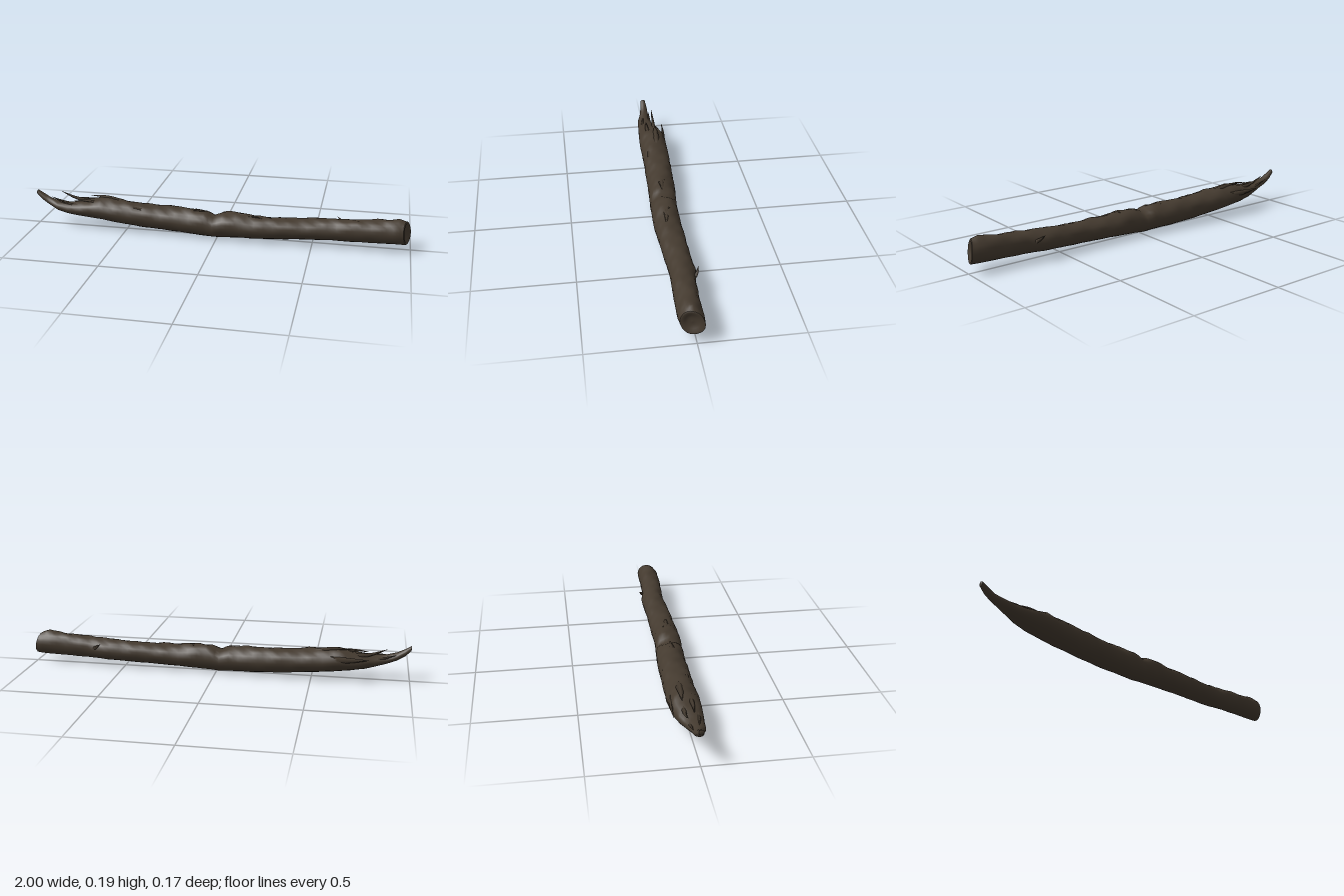
import * as THREE from 'three';

const bark = new THREE.MeshStandardMaterial({ color: 0x443a2f, side: THREE.DoubleSide });
bark.name = 'dark bark';

// Trunk sections: x, bottom, top, back z, front z
const SECTIONS = [
  [-1.00, 0.165, 0.190, -0.012, 0.014],
  [-0.97, 0.135, 0.172, -0.018, 0.020],
  [-0.93, 0.110, 0.150, -0.020, 0.026],
  [-0.88, 0.088, 0.135, -0.022, 0.045],
  [-0.82, 0.072, 0.130, -0.040, 0.052],
  [-0.77, 0.062, 0.138, -0.062, 0.056],
  [-0.70, 0.053, 0.150, -0.080, 0.060],
  [-0.64, 0.046, 0.165, -0.086, 0.064],
  [-0.56, 0.036, 0.158, -0.087, 0.066],
  [-0.40, 0.021, 0.146, -0.082, 0.066],
  [-0.20, 0.010, 0.140, -0.076, 0.071],
  [-0.07, 0.005, 0.137, -0.066, 0.078],
  [-0.02, 0.003, 0.117, -0.061, 0.080],
  [0.03, 0.005, 0.138, -0.058, 0.082],
  [0.10, 0.009, 0.141, -0.056, 0.084],
  [0.20, 0.013, 0.128, -0.055, 0.086],
  [0.40, 0.023, 0.131, -0.055, 0.076],
  [0.60, 0.031, 0.141, -0.060, 0.066],
  [0.70, 0.034, 0.149, -0.044, 0.071],
  [0.85, 0.038, 0.160, -0.040, 0.076],
  [0.94, 0.040, 0.167, -0.039, 0.077],
  [0.975, 0.042, 0.160, -0.037, 0.072],
];
const SIDES = 22;

// Joins equal-length rings of points into a skin
function skin(name, rings) {
  const n = rings[0].length, pos = rings.flat(2), index = [];
  for (let i = 0; i < rings.length - 1; i++) {
    for (let j = 0; j < n; j++) {
      const a = i * n + j, b = i * n + (j + 1) % n;
      index.push(a, a + n, b, b, a + n, b + n);
    }
  }
  const g = new THREE.BufferGeometry();
  g.setAttribute('position', new THREE.Float32BufferAttribute(pos, 3));
  g.setIndex(index);
  g.computeVertexNormals();
  const mesh = new THREE.Mesh(g, bark);
  mesh.name = name;
  return mesh;
}

// Uneven bark, strongest on the weathered upper side
function bump(x, a) {
  const up = 0.25 + 0.75 * Math.max(0, Math.sin(a));
  return 1 + up * (0.04 * Math.sin(17 * x + 3 * a) + 0.035 * Math.sin(41 * x - 4 * a + 1)
    + 0.025 * Math.sin(73 * x + 5 * a));
}

function ring([x, y0, y1, z0, z1], scale = 1, push = 0) {
  const pts = [];
  for (let j = 0; j < SIDES; j++) {
    const a = j / SIDES * Math.PI * 2, r = bump(x, a) * scale;
    const y = (y0 + y1) / 2 + (y1 - y0) / 2 * Math.sin(a) * r;
    const z = (z0 + z1) / 2 + (z1 - z0) / 2 * Math.cos(a) * r;
    // The sawn end leans: its back and lower edge reach farther
    const lean = THREE.MathUtils.smoothstep(x, 0.85, 0.975) * (-0.32 * (z - 0.018) - 0.12 * (y - 0.1));
    pts.push([x + lean + push, Math.max(0, y), z]);
  }
  return pts;
}

function trunk() {
  const rings = [];
  SECTIONS.forEach((s, i) => {
    const next = SECTIONS[i + 1];
    if (!next) return rings.push(ring(s));
    const steps = Math.max(2, Math.round((next[0] - s[0]) / 0.025));
    for (let k = 0; k < steps; k++) {
      rings.push(ring(s.map((v, c) => THREE.MathUtils.lerp(v, next[c], k / steps))));
    }
  });
  return skin('trunk', rings);
}

// Rough hollowed face closing one end
function endFace(name, section, depth) {
  const rings = [[1, 0], [0.9, 0.3], [0.6, -0.6], [0.3, -1], [0.001, -0.8]]
    .map(([s, d]) => ring(section, s, d * depth));
  if (section[0] < 0) rings.reverse();
  return skin(name, rings);
}

// Pointed sliver of wood with a diamond cross-section, running from root to tip
function splinter(name, path, height, width) {
  const curve = new THREE.CatmullRomCurve3(path.map(p => new THREE.Vector3(...p)));
  const side = curve.getTangent(0.5).cross(new THREE.Vector3(0, 1, 0)).normalize();
  const up = side.clone().cross(curve.getTangent(0.5)).normalize();
  const rings = [];
  for (let i = 0; i <= 5; i++) {
    const p = curve.getPoint(i / 5), r = 1 - 0.95 * (i / 5) ** 1.5;
    rings.push([[0, 1], [1, 0], [0, -1], [-1, 0]].map(([s, u]) =>
      p.clone().addScaledVector(side, s * r * width).addScaledVector(up, u * r * height).toArray()));
  }
  return skin(name, rings);
}

export function createModel() {
  const group = new THREE.Group();
  group.name = 'fallenLog';
  group.add(trunk());
  group.add(endFace('brokenEnd', SECTIONS[0], 0.002));
  group.add(endFace('cutEnd', SECTIONS[SECTIONS.length - 1], 0.012));

  // Torn slivers around the broken end
  const slivers = [
    [[[-0.70, 0.13, -0.03], [-0.80, 0.145, -0.035], [-0.88, 0.177, -0.036]], 0.013, 0.012],
    [[[-0.60, 0.115, -0.072], [-0.70, 0.122, -0.082], [-0.79, 0.128, -0.085]], 0.020, 0.010],
    [[[-0.52, 0.145, -0.02], [-0.62, 0.165, -0.028], [-0.71, 0.165, -0.035]], 0.013, 0.022],
    [[[-0.62, 0.14, 0.01], [-0.72, 0.150, 0.012], [-0.79, 0.145, 0.008]], 0.010, 0.014],
    [[[-0.74, 0.12, 0.03], [-0.82, 0.130, 0.025], [-0.89, 0.135, 0.012]], 0.010, 0.010],
    [[[-0.80, 0.11, -0.02], [-0.87, 0.125, -0.02], [-0.93, 0.145, -0.022]], 0.010, 0.010],
  ];
  slivers.forEach(([path, h, w], i) => group.add(splinter('splinter' + (i + 1), path, h, w)));

  // Lifted bark flakes along the top, and a twig stub at the back
  const flakes = [
    [[[-0.22, 0.13, 0.0], [-0.13, 0.138, 0.005], [-0.05, 0.136, 0.01]], 0.006, 0.025],
    [[[0.12, 0.134, 0.01], [0.18, 0.132, 0.02], [0.25, 0.125, 0.03]], 0.006, 0.018],
    [[[-0.38, 0.125, 0.035], [-0.46, 0.138, 0.03], [-0.54, 0.148, 0.025]], 0.008, 0.012],
  ];
  flakes.forEach(([path, h, w], i) => group.add(splinter('barkFlake' + (i + 1), path, h, w)));
  group.add(splinter('twigStub', [[0.66, 0.10, -0.045], [0.64, 0.115, -0.060], [0.62, 0.13, -0.068]], 0.010, 0.010));
  return group;
}
